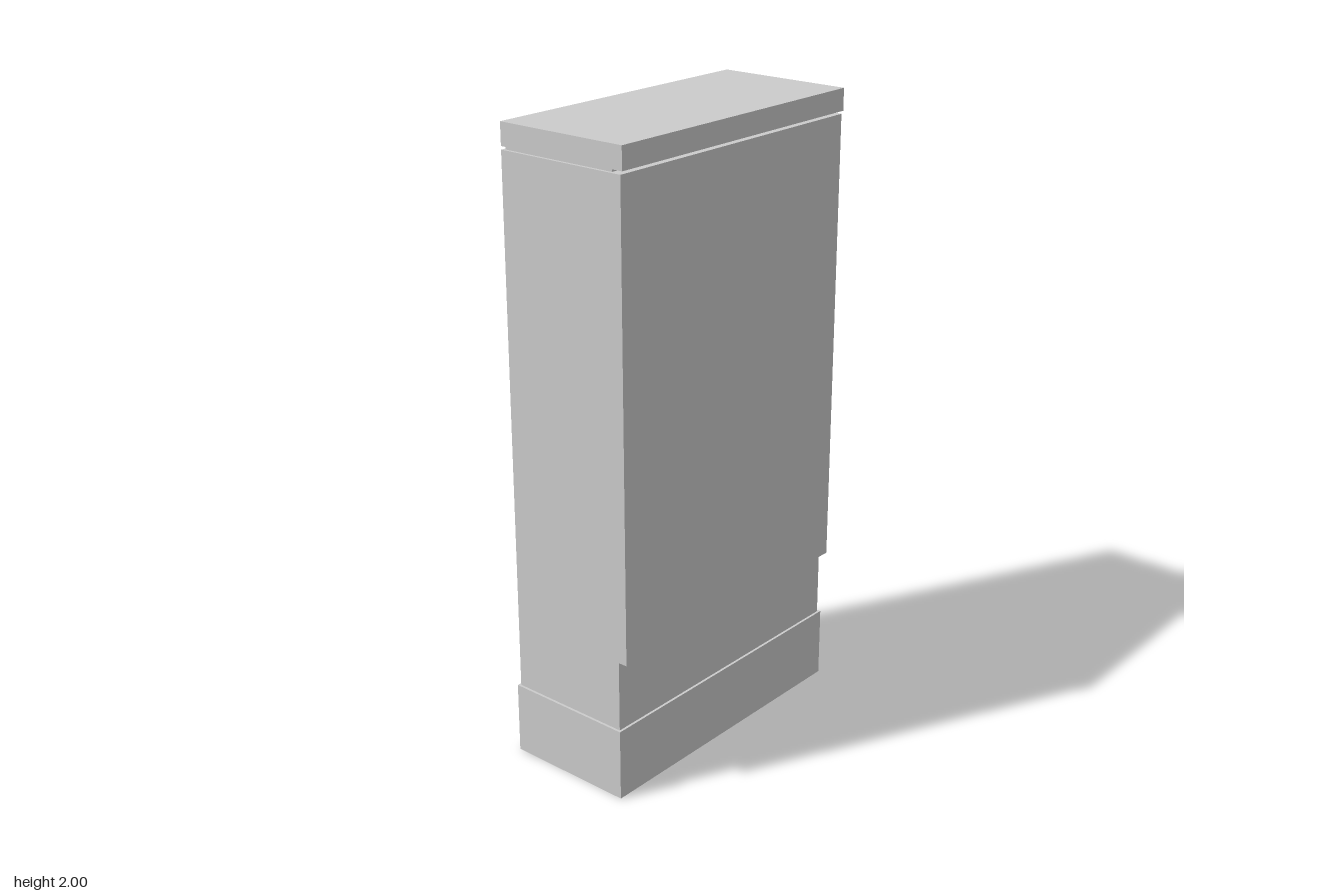
import * as THREE from 'three';

const material = new THREE.MeshStandardMaterial({
  color: 0xcccccc, flatShading: true, side: THREE.DoubleSide,
});

// Skins a stack of rectangles [y, xMin, xMax, halfDepth] from bottom to top.
function shell(name, rings, closeTop = false) {
  const corners = rings.map(([y, a, b, z]) => [[a, y, z], [b, y, z], [b, y, -z], [a, y, -z]]);
  const pos = [];
  const quad = (a, b, c, d) => pos.push(...a, ...b, ...c, ...a, ...c, ...d);
  for (let i = 0; i < corners.length - 1; i++) {
    const lo = corners[i], hi = corners[i + 1];
    for (let k = 0; k < 4; k++) {
      const n = (k + 1) % 4;
      quad(lo[k], lo[n], hi[n], hi[k]);
    }
  }
  if (closeTop) quad(...corners[corners.length - 1]);
  const geometry = new THREE.BufferGeometry();
  geometry.setAttribute('position', new THREE.Float32BufferAttribute(pos, 3));
  geometry.computeVertexNormals();
  const mesh = new THREE.Mesh(geometry, material);
  mesh.name = name;
  return mesh;
}

export function createModel() {
  const group = new THREE.Group();
  group.name = 'pillar';
  const left = -0.221, depth = 0.495;
  const recess = [-0.213, 0.184, 0.486];

  group.add(
    // open-bottomed plinth with a narrow ledge
    shell('plinth', [
      [0, -0.228, 0.2, 0.503],
      [0.231, -0.228, 0.2, 0.503],
      [0.231, left, 0.192, depth],
    ]),
    // hollow body, stepping out on its right side
    shell('body', [
      [0.231, left, 0.192, depth],
      [0.459, left, 0.192, depth],
      [0.459, left, 0.222, depth],
      [1.921, left, 0.222, depth],
      [1.921, ...recess],
    ]),
    // shadow gap below the cap
    shell('shadowGap', [[1.921, ...recess], [1.931, ...recess]]),
    // cap slab
    shell('cap', [
      [1.931, ...recess],
      [1.931, left, 0.228, depth],
      [2, left, 0.228, depth],
    ], true),
  );
  return group;
}
